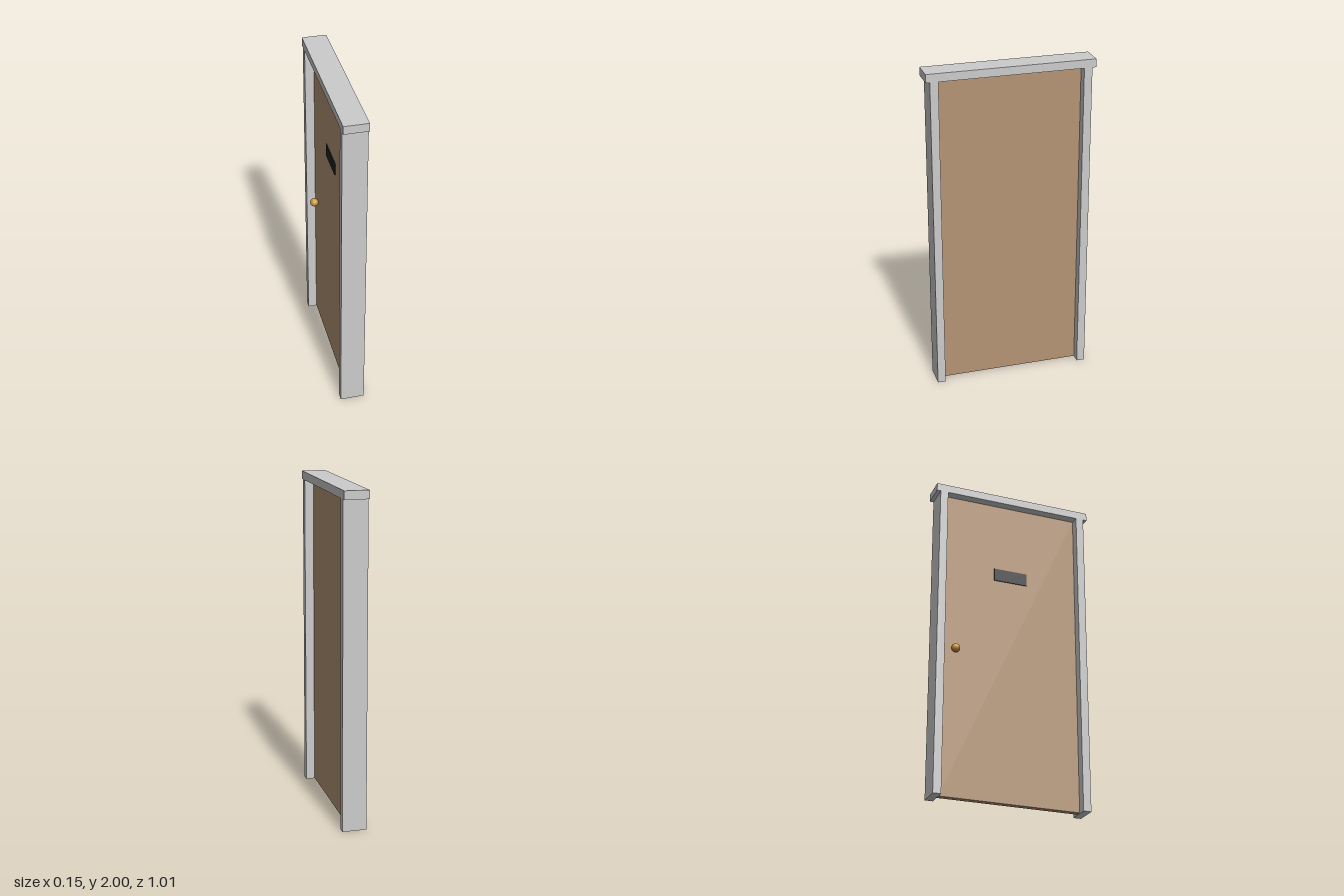
import * as THREE from 'three';

export function createModel() {
  const model = new THREE.Group();
  const grey = new THREE.MeshStandardMaterial({ color: 0xcccccc });
  const wood = new THREE.MeshStandardMaterial({ color: 0xb49474 });
  const black = new THREE.MeshStandardMaterial({ color: 0x222222 });
  const brass = new THREE.MeshStandardMaterial({ color: 0xc8963c });

  const add = (name, geometry, material, x, y, z) => {
    const mesh = new THREE.Mesh(geometry, material);
    mesh.name = name;
    mesh.position.set(x, y, z);
    model.add(mesh);
  };
  const box = (name, material, [w, h, d], [x, y, z]) =>
    add(name, new THREE.BoxGeometry(w, h, d), material, x, y, z);

  const depth = 0.146, headHeight = 0.05, postHeight = 2 - headHeight;
  const postWidth = 0.049, postZ = 0.4565;
  const doorThickness = 0.038, doorGap = 0.004;

  // Frame: two posts and an overhanging head
  for (const side of [1, -1]) {
    box(side > 0 ? 'frontPost' : 'backPost', grey,
      [depth, postHeight, postWidth], [0, postHeight / 2, side * postZ]);
  }
  box('frameHead', grey, [depth, headHeight, 1.01], [0, 2 - headHeight / 2, 0]);

  // Door leaf, recessed in the middle of the frame
  box('doorLeaf', wood, [doorThickness, postHeight - doorGap, 0.862],
    [0, (postHeight + doorGap) / 2, 0]);

  // Plate and knob on the -x side only
  box('doorPlate', black, [0.006, 0.08, 0.214], [-doorThickness / 2 - 0.002, 1.463, 0]);
  add('doorKnob', new THREE.SphereGeometry(0.026, 24, 16), brass, -0.043, 0.915, -0.353);

  return model;
}
